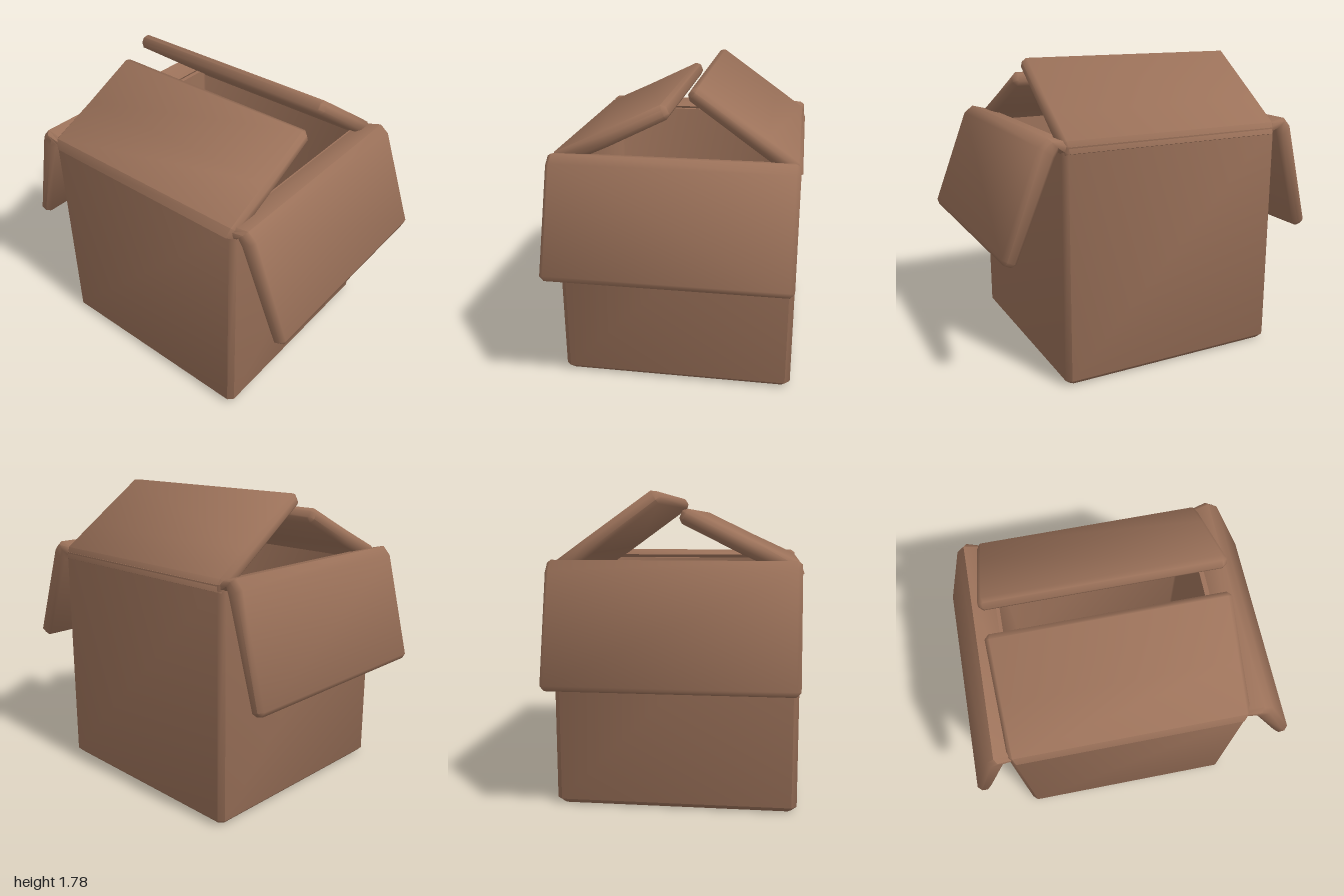
import * as THREE from 'three';
import { toCreasedNormals } from 'three/addons/utils/BufferGeometryUtils.js';

const CHAMFER = 0.025;
const MID_Z = -0.0325;
const HALF = 0.6885;
const v = (x, y, z) => new THREE.Vector3(x, y, z);

// Rectangle with cut corners, spanned by half-vectors U and V around a centre
function ring(center, U, V, c = CHAMFER) {
  const a = 1 - c / U.length(), b = 1 - c / V.length();
  return [[a, 1], [1, b], [1, -b], [a, -1], [-a, -1], [-1, -b], [-1, b], [-a, 1]]
    .map(([s, t]) => center.clone().addScaledVector(U, s).addScaledVector(V, t));
}

// Closed solid skinned through a list of rings, soft across the chamfers
function loft(rings) {
  const tris = [];
  const n = rings[0].length;
  for (let i = 0; i + 1 < rings.length; i++) {
    for (let j = 0; j < n; j++) {
      const k = (j + 1) % n;
      const [a, b, c, d] = [rings[i][j], rings[i][k], rings[i + 1][k], rings[i + 1][j]];
      tris.push([a, b, c], [a, c, d]);
    }
  }
  const first = rings[0], last = rings[rings.length - 1];
  for (let j = 1; j + 1 < n; j++) {
    tris.push([first[0], first[j + 1], first[j]], [last[0], last[j], last[j + 1]]);
  }
  // Turn the solid the right way out
  const volume = tris.reduce((s, [a, b, c]) => s + a.dot(b.clone().cross(c)), 0);
  const points = tris.flatMap(([a, b, c]) => (volume < 0 ? [a, c, b] : [a, b, c]));
  const geometry = new THREE.BufferGeometry().setFromPoints(points);
  return toCreasedNormals(geometry, 1.0);
}

// Flap from [outer u, outer y, inner u, inner y] sections, hinge to tip
function flapGeometry(sections, axis) {
  const place = (u, y) => (axis === 'x' ? v(u, y, MID_Z) : v(0, y, u));
  const wide = w => (axis === 'x' ? v(0, 0, w) : v(w, 0, 0));
  const parts = sections.map(([ou, oy, iu, iy]) => {
    const outer = place(ou, oy), inner = place(iu, iy);
    return { mid: outer.clone().add(inner).multiplyScalar(0.5), half: outer.sub(inner).multiplyScalar(0.5) };
  });
  const tip = parts[parts.length - 1];
  const back = parts[parts.length - 2].mid.clone().sub(tip.mid).setLength(CHAMFER);
  const rings = parts.slice(0, -1).map((p, i) => ring(p.mid, wide(HALF - (i === 0 ? 0.015 : 0)), p.half));
  rings.push(ring(tip.mid.clone().add(back), wide(HALF), tip.half));
  // Bevelled tip edge
  const slim = tip.half.clone().setLength(tip.half.length() - CHAMFER * 0.8);
  rings.push(ring(tip.mid, wide(HALF - CHAMFER), slim, 0.008));
  return loft(rings);
}

export function createModel() {
  const group = new THREE.Group();
  const cardboard = new THREE.MeshStandardMaterial({ color: 0x9c725a });
  cardboard.name = 'cardboard';
  const add = (name, geometry) => {
    const mesh = new THREE.Mesh(geometry, cardboard);
    mesh.name = name;
    group.add(mesh);
  };

  // Hollow body: up the outside, over the rim, down the inside to the floor
  const level = (y, h, c) => ring(v(0, y, MID_Z), v(h, 0, 0), v(0, 0, h), c);
  add('boxBody', loft([
    level(0, HALF - 0.03, 0.02),
    level(0.03, HALF, 0.03),
    level(1.365, HALF, 0.03),
    level(1.365, HALF - 0.08, 0.01),
    level(0.08, HALF - 0.08, 0.01),
  ]));

  // Front and back flaps folded down outside the box
  add('frontFlap', flapGeometry([
    [0.6, 1.385, 0.645, 1.31],
    [0.73, 1.418, 0.67, 1.35],
    [0.785, 1.375, 0.695, 1.31],
    [1.01, 0.785, 0.93, 0.745],
  ], 'z'));
  add('backFlap', flapGeometry([
    [-0.66, 1.38, -0.7, 1.31],
    [-0.795, 1.412, -0.735, 1.35],
    [-0.842, 1.36, -0.752, 1.3],
    [-1.003, 0.735, -0.92, 0.712],
  ], 'z'));

  // Side flaps raised over the opening
  add('rightFlap', flapGeometry([
    [-0.702, 1.34, -0.62, 1.31],
    [-0.68, 1.398, -0.6, 1.335],
    [-0.4, 1.527, -0.37, 1.44],
    [-0.052, 1.695, -0.018, 1.615],
  ], 'x'));
  add('leftFlap', flapGeometry([
    [0.698, 1.33, 0.62, 1.3],
    [0.675, 1.395, 0.605, 1.335],
    [0.5, 1.52, 0.45, 1.447],
    [0.11, 1.795, 0.064, 1.725],
  ], 'x'));

  return group;
}
